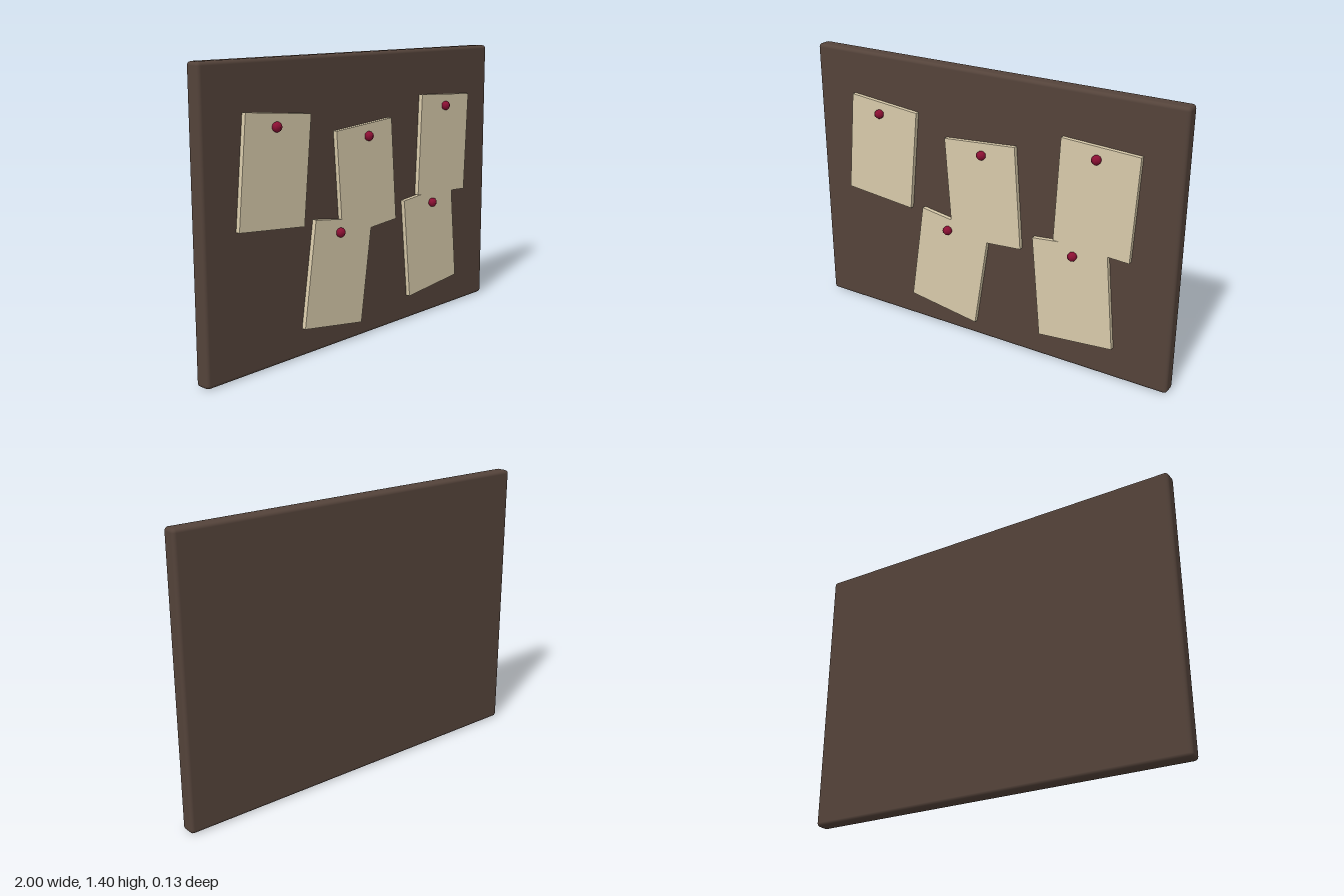
import * as THREE from 'three';
import { RoundedBoxGeometry } from 'three/addons/geometries/RoundedBoxGeometry.js';

export function createModel() {
  const group = new THREE.Group();
  const boardMat = new THREE.MeshStandardMaterial({ color: 0x54433a });
  const paperMat = new THREE.MeshStandardMaterial({ color: 0xd8caaa });
  const pinMat = new THREE.MeshStandardMaterial({ color: 0x8c1034 });

  const add = (name, geometry, material, x, y, z) => {
    const mesh = new THREE.Mesh(geometry, material);
    mesh.name = name;
    mesh.position.set(x, y, z);
    group.add(mesh);
    return mesh;
  };

  // Board with softened edges
  add('board', new RoundedBoxGeometry(2, 1.4, 0.078, 2, 0.018), boardMat, 0, 0.7, -0.027);

  // Tilted notes, each held by a pin above its centre: [x, y, tilt]
  const notes = [
    [-0.6, 0.903, -0.095],
    [0, 0.803, 0.075],
    [0.6, 0.903, -0.05],
    [-0.2, 0.363, -0.15],
    [0.5, 0.403, 0.095],
  ];
  const paperGeo = new THREE.BoxGeometry(0.392, 0.515, 0.024);
  // Six-sided round pin head, one corner facing forward
  const pinGeo = new THREE.SphereGeometry(0.0235, 6, 12).rotateY(Math.PI / 2);

  notes.forEach(([x, y, tilt], i) => {
    add(`paper${i + 1}`, paperGeo, paperMat, x, y, 0.022).rotation.z = tilt;
    add(`pin${i + 1}`, pinGeo, pinMat, x, y + 0.199, 0.044);
  });

  return group;
}
